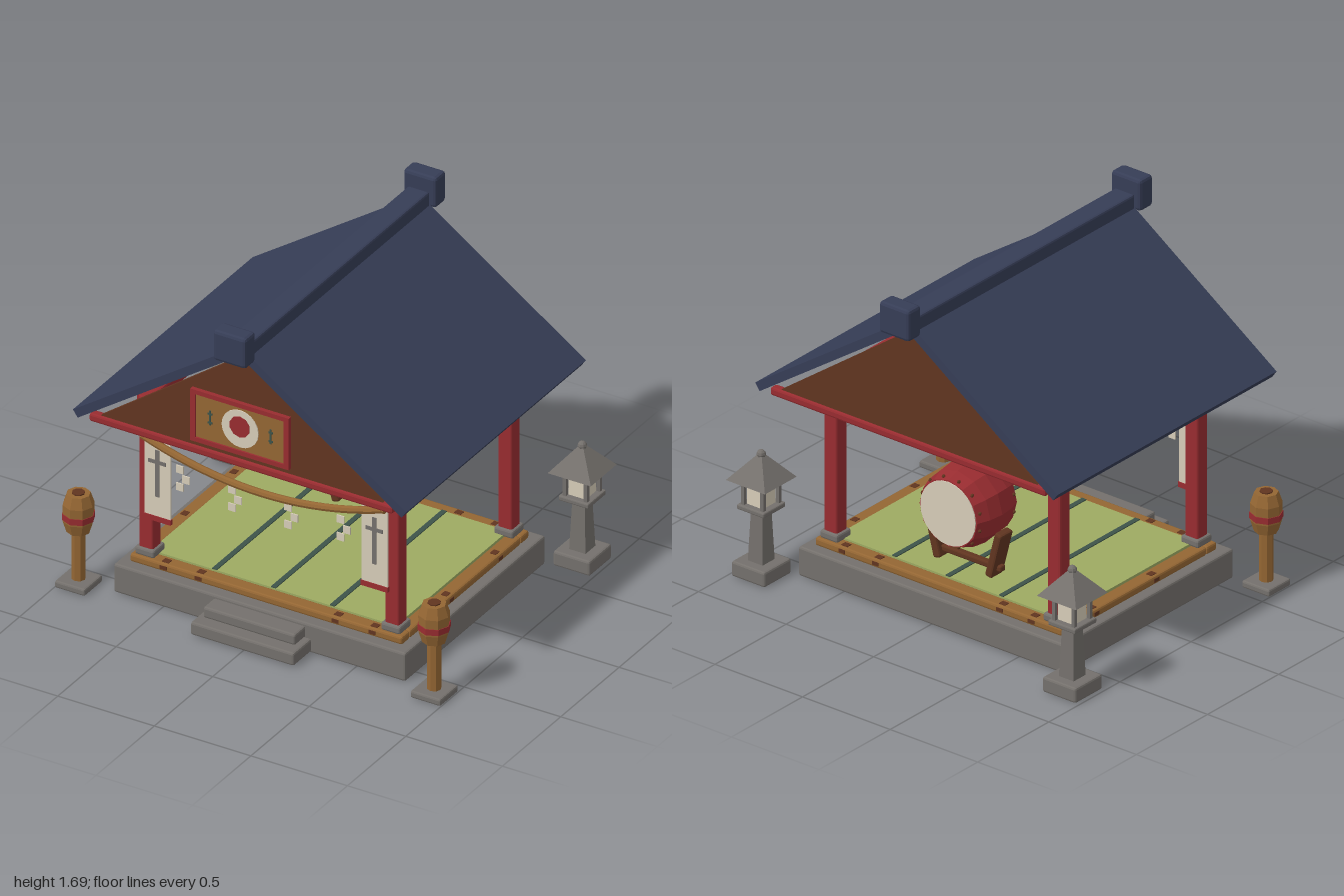
import * as THREE from 'three';
import { RoundedBoxGeometry } from 'three/addons/geometries/RoundedBoxGeometry.js';

const mat = (name, color) => {
  const m = new THREE.MeshStandardMaterial({ color, flatShading: true });
  m.name = name;
  return m;
};

export function createModel() {
  const root = new THREE.Group();
  root.name = 'festivalPavilion';
  const stone = mat('stone', 0x74706c), red = mat('red lacquer', 0x982c30), navy = mat('navy roof', 0x363d56);
  const brown = mat('dark wood', 0x613520), wood = mat('light wood', 0x946633), cream = mat('cream', 0xd6ccb8);
  const straw = mat('straw mat', 0x9daa62), green = mat('dark green', 0x3d5349);

  const add = (name, geo, m, x = 0, y = 0, z = 0, parent = root) => {
    const mesh = new THREE.Mesh(geo, m);
    mesh.name = name;
    mesh.position.set(x, y, z);
    parent.add(mesh);
    return mesh;
  };
  const box = (name, m, w, h, d, x, y, z, parent) =>
    add(name, new THREE.BoxGeometry(w, h, d), m, x, y, z, parent);
  // Box with chamfered edges
  const block = (name, m, w, h, d, x, y, z, parent, bevel = 0.01) => {
    const r = Math.min(bevel, Math.min(w, h, d) * 0.25);
    return add(name, new RoundedBoxGeometry(w, h, d, 1, r), m, x, y, z, parent);
  };
  const disc = (name, m, r, depth, seg, x, y, z, parent) =>
    add(name, new THREE.CylinderGeometry(r, r, depth, seg).rotateX(Math.PI / 2), m, x, y, z, parent);
  const lathe = (pts, seg) => new THREE.LatheGeometry(pts.map(p => new THREE.Vector2(...p)), seg);
  const prism = (pts, depth) => new THREE.ExtrudeGeometry(
    new THREE.Shape(pts.map(p => new THREE.Vector2(...p))), { depth, bevelEnabled: false }).translate(0, 0, -depth / 2);
  const sides = [-1, 1];

  // Stone base and steps
  block('platform', stone, 1.51, 0.145, 1.2, 0, 0.0725, 0);
  block('lowerStep', stone, 0.535, 0.065, 0.17, 0, 0.0385, 0.665);
  block('upperStep', stone, 0.475, 0.055, 0.11, 0, 0.1, 0.635);

  // Floor with a wooden rim and mat seams
  for (const s of sides) {
    block('floorRimLong', wood, 1.41, 0.04, 0.07, 0, 0.165, s * 0.51);
    block('floorRimShort', wood, 0.07, 0.04, 0.95, s * 0.67, 0.165, 0);
    for (const x of [-0.53, -0.35, 0.36, 0.55]) {
      box('rimKnot', brown, 0.035, 0.018, 0.004, x, 0.166, s * 0.546);
      box('rimKnotTop', brown, 0.035, 0.004, 0.03, x, 0.186, s * 0.515);
    }
    for (const z of [-0.3, 0.12]) {
      box('rimKnot', brown, 0.004, 0.018, 0.035, s * 0.706, 0.166, z);
      box('rimKnotTop', brown, 0.03, 0.004, 0.035, s * 0.675, 0.186, z);
    }
  }
  box('strawFloor', straw, 1.27, 0.045, 0.96, 0, 0.1705, 0);
  for (const x of [-0.305, 0, 0.305]) box('matSeam', green, 0.025, 0.005, 0.96, x, 0.195, 0);

  // Pillars and top beams
  for (const sx of sides) {
    for (const sz of sides) {
      block('pillarBase', stone, 0.1, 0.04, 0.1, sx * 0.637, 0.205, sz * 0.484);
      block('pillar', red, 0.074, 0.76, 0.074, sx * 0.637, 0.595, sz * 0.484);
    }
    block('sideBeam', red, 0.06, 0.055, 1.08, sx * 0.637, 0.983, 0);
    block('crossBeam', red, 1.38, 0.055, 0.06, 0, 0.983, sx * 0.484);
    block('gableBeam', red, 1.57, 0.04, 0.045, 0, 0.975, sx * 0.74);
    add('gable', prism([[-0.735, 0.992], [0.735, 0.992], [0, 1.525]], 0.02), brown, 0, 0, sx * 0.74);
  }
  block('frontRail', wood, 1.21, 0.04, 0.04, 0, 0.885, 0.484);

  // Roof slopes, ridge and ridge caps
  const slope = [[0, 1.536], [0.838, 0.96], [0.863, 0.995], [0, 1.585]];
  add('roofRight', prism(slope, 1.54), navy);
  add('roofLeft', prism(slope.map(([x, y]) => [-x, y]).reverse(), 1.54), navy);
  block('ridge', navy, 0.11, 0.085, 1.54, 0, 1.573, 0);
  for (const s of sides) block('ridgeCap', navy, 0.17, 0.155, 0.09, 0, 1.612, s * 0.815, root, 0.015);

  // Gable sign
  const sign = new THREE.Group();
  sign.name = 'gableSign';
  root.add(sign);
  box('signBoard', wood, 0.46, 0.23, 0.012, 0, 1.158, 0.756, sign);
  for (const s of sides) {
    box('signFrameSide', red, 0.026, 0.266, 0.022, s * 0.242, 1.158, 0.76, sign);
    box('signFrameRail', red, 0.51, 0.022, 0.022, 0, 1.158 + s * 0.122, 0.76, sign);
    box('signMark', green, 0.008, 0.075, 0.004, s * 0.157, 1.165, 0.763, sign);
    for (const y of [1.14, 1.185]) box('signTick', green, 0.022, 0.01, 0.004, s * 0.157, y, 0.763, sign);
  }
  disc('signDisc', cream, 0.095, 0.006, 20, 0, 1.158, 0.764, sign);
  disc('signDot', red, 0.053, 0.006, 10, 0, 1.17, 0.768, sign);

  // Sagging rope with folded paper streamers
  const rope = new THREE.QuadraticBezierCurve3(
    new THREE.Vector3(-0.62, 0.83, 0.565), new THREE.Vector3(0, 0.612, 0.565), new THREE.Vector3(0.62, 0.83, 0.565));
  add('rope', new THREE.TubeGeometry(rope, 20, 0.018, 8), wood);
  for (const s of sides)
    disc('ropeEnd', wood, 0.018, 0.02, 8, s * 0.62, 0.83, 0.565).rotation.y = Math.PI / 2;
  for (const [x, y] of [[-0.433, 0.713], [-0.163, 0.692], [0.128, 0.692], [0.4, 0.713]])
    for (let i = 0; i < 3; i++)
      box('paperStreamer', cream, 0.038, 0.038, 0.006, x + (i % 2) * 0.032, y - i * 0.045, 0.565);

  // Banners on the front pillars
  for (const s of sides) {
    const x = s * 0.562;
    box('bannerCloth', cream, 0.135, 0.45, 0.008, x, 0.63, 0.54);
    box('bannerTop', red, 0.14, 0.028, 0.016, x, 0.857, 0.54);
    box('bannerBottom', red, 0.14, 0.026, 0.016, x, 0.408, 0.54);
    box('bannerStroke', stone, 0.02, 0.24, 0.004, x, 0.642, 0.546);
    box('bannerCrossStroke', stone, 0.09, 0.018, 0.004, x, 0.7, 0.546);
  }

  // Barrel drum with studs
  const drum = new THREE.Group();
  drum.name = 'drum';
  drum.position.set(0, 0.505, -0.335);
  root.add(drum);
  add('drumBody', lathe([[0, -0.139], [0.165, -0.139], [0.187, -0.075], [0.195, 0],
    [0.187, 0.075], [0.165, 0.139], [0, 0.139]], 12).rotateX(Math.PI / 2), red, 0, 0, 0, drum);
  for (const s of sides) {
    disc('drumSkin', cream, 0.157, 0.008, 24, 0, 0, s * 0.14, drum);
    for (let i = 0; i < 12; i++) {
      const a = (i + 0.5) * Math.PI / 6;
      add('drumStud', new THREE.SphereGeometry(0.009, 6, 4), brown, Math.cos(a) * 0.169, Math.sin(a) * 0.169, s * 0.12, drum);
    }
  }

  // Drum stand
  for (const s of sides)
    block('standPost', brown, 0.04, 0.235, 0.09, s * 0.175, 0.31, -0.335).rotation.z = -s * 0.25;
  block('standBar', brown, 0.4, 0.03, 0.035, 0, 0.238, -0.335);

  for (const s of sides) {
    // Stone lantern at the back
    const lantern = new THREE.Group();
    lantern.name = 'stoneLantern';
    lantern.position.set(s * 0.888, 0, -0.697);
    root.add(lantern);
    block('lanternBase', stone, 0.19, 0.075, 0.19, 0, 0.0375, 0, lantern);
    add('lanternPost', new THREE.CylinderGeometry(0.045, 0.06, 0.265, 4).rotateY(Math.PI / 4), stone, 0, 0.205, 0, lantern);
    block('lanternShelf', stone, 0.155, 0.025, 0.155, 0, 0.345, 0, lantern);
    box('lanternLight', cream, 0.09, 0.115, 0.09, 0, 0.415, 0, lantern);
    for (const px of sides) for (const pz of sides)
      box('lanternCorner', stone, 0.018, 0.115, 0.018, px * 0.055, 0.415, pz * 0.055, lantern);
    box('lanternLintel', stone, 0.13, 0.015, 0.13, 0, 0.472, 0, lantern);
    add('lanternRoof', new THREE.CylinderGeometry(0.018, 0.158, 0.12, 4).rotateY(Math.PI / 4), stone, 0, 0.54, 0, lantern);
    add('lanternFinial', new THREE.SphereGeometry(0.022, 8, 6), stone, 0, 0.602, 0, lantern);

    // Wooden barrel lamp at the front
    const lamp = new THREE.Group();
    lamp.name = 'barrelLamp';
    lamp.position.set(s * 0.921, 0, 0.626);
    root.add(lamp);
    block('lampFoot', stone, 0.156, 0.035, 0.156, 0, 0.0175, 0, lamp);
    add('lampPost', new THREE.CylinderGeometry(0.033, 0.033, 0.27, 8), wood, 0, 0.165, 0, lamp);
    add('lampBarrel', lathe([[0, 0.28], [0.055, 0.28], [0.072, 0.335], [0.073, 0.42], [0.055, 0.473], [0, 0.473]], 8),
      wood, 0, 0, 0, lamp);
    add('lampBand', new THREE.CylinderGeometry(0.076, 0.076, 0.03, 8), red, 0, 0.36, 0, lamp);
    add('lampLid', new THREE.CylinderGeometry(0.03, 0.03, 0.01, 8), brown, 0, 0.474, 0, lamp);
  }
  return root;
}
